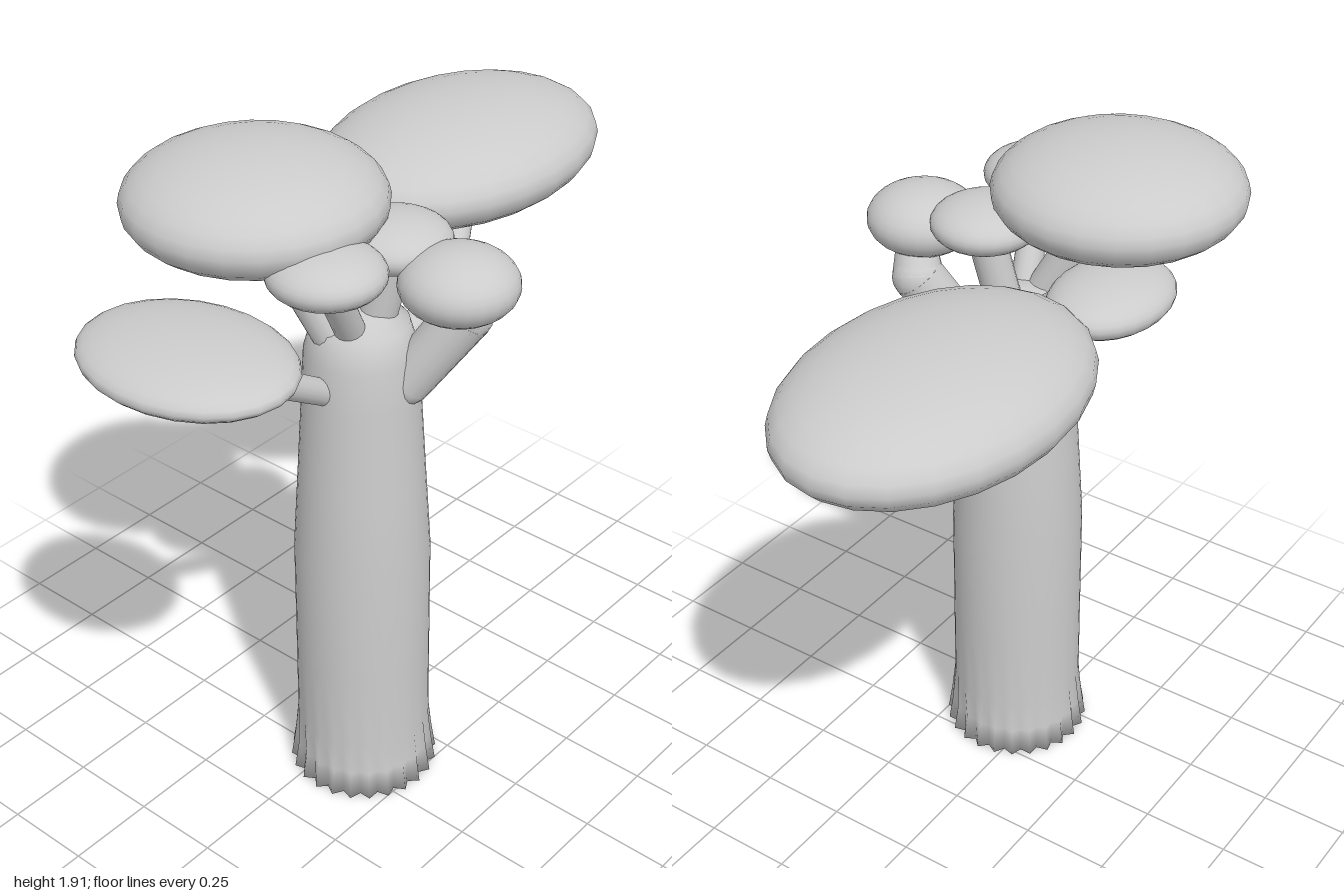
import * as THREE from 'three';

export function createModel() {
  const model = new THREE.Group();
  const material = new THREE.MeshStandardMaterial({ color: 0xcccccc });
  const up = new THREE.Vector3(0, 1, 0);

  const add = (name, geometry, parent = model) => {
    const mesh = new THREE.Mesh(geometry, material);
    mesh.name = name;
    parent.add(mesh);
    return mesh;
  };

  // Trunk: a tapering column with a fluted, flared foot
  const profile = [
    [0, 0], [0.21, 0], [0.198, 0.08], [0.187, 0.18], [0.186, 0.4], [0.185, 0.76],
    [0.17, 1.0], [0.155, 1.25], [0.148, 1.37], [0.125, 1.45], [0.07, 1.48], [0, 1.485],
  ].map(([r, y]) => new THREE.Vector2(r, y));
  const segments = 48;
  const trunkGeometry = new THREE.LatheGeometry(profile, segments);
  const pos = trunkGeometry.attributes.position;
  for (let i = 0; i < pos.count; i++) {
    const column = Math.floor(i / profile.length);
    const y = pos.getY(i);
    if (column % 2 && y < 0.18) {
      const pinch = 1 - 0.11 * (1 - y / 0.18);
      pos.setX(i, pos.getX(i) * pinch);
      pos.setZ(i, pos.getZ(i) * pinch);
    }
  }
  trunkGeometry.computeVertexNormals();
  // Match the normals where the lathe closes on itself
  const normal = trunkGeometry.attributes.normal;
  for (let j = 0; j < profile.length; j++) {
    const k = segments * profile.length + j;
    const n = new THREE.Vector3().fromBufferAttribute(normal, j)
      .add(new THREE.Vector3().fromBufferAttribute(normal, k)).normalize();
    normal.setXYZ(j, n.x, n.y, n.z);
    normal.setXYZ(k, n.x, n.y, n.z);
  }
  add('trunk', trunkGeometry).position.set(-0.167, 0, 0.07);

  // Branches: tapering limbs with rounded elbows; each point is x, y, z, radius
  const branch = (name, points) => {
    const group = new THREE.Group();
    group.name = name;
    model.add(group);
    points.forEach(([x, y, z, r], i) => {
      const a = new THREE.Vector3(x, y, z);
      add('joint', new THREE.SphereGeometry(r, 16, 10), group).position.copy(a);
      if (i === points.length - 1) return;
      const [bx, by, bz, br] = points[i + 1];
      const direction = new THREE.Vector3(bx, by, bz).sub(a);
      const limb = add('limb', new THREE.CylinderGeometry(br, r, direction.length(), 16), group);
      limb.position.copy(a).addScaledVector(direction, 0.5);
      limb.quaternion.setFromUnitVectors(up, direction.normalize());
    });
  };
  branch('leftBranch', [[-0.06, 1.31, 0.08, 0.035], [0.22, 1.385, 0.05, 0.038], [0.36, 1.52, -0.03, 0.04]]);
  branch('rightBranch', [[-0.28, 1.28, 0.06, 0.035], [-0.52, 1.43, 0.06, 0.037], [-0.62, 1.575, 0.06, 0.036], [-0.69, 1.6, 0.06, 0.035]]);
  branch('frontBranch', [[-0.125, 1.3, 0.19, 0.065], [-0.045, 1.5, 0.31, 0.07], [-0.08, 1.6, 0.34, 0.05]]);
  branch('backBranch', [[-0.15, 1.4, 0, 0.065], [-0.09, 1.6, -0.23, 0.065]]);
  branch('crownBranch', [[-0.24, 1.42, 0.05, 0.055], [-0.3, 1.7, -0.1, 0.06]]);
  branch('innerRightBranch', [[-0.22, 1.43, 0.09, 0.04], [-0.37, 1.67, 0.14, 0.04]]);
  branch('innerFrontBranch', [[-0.14, 1.42, 0.09, 0.05], [-0.11, 1.66, 0.14, 0.05]]);

  // Foliage: flattened ellipsoids, given as centre and half sizes
  const foliage = [
    ['crownFoliage', [-0.31, 1.775, -0.145], [0.335, 0.14, 0.335]],
    ['leftFoliage', [0.525, 1.605, -0.165], [0.47, 0.145, 0.335]],
    ['rightFoliage', [-0.778, 1.62, 0.075], [0.222, 0.065, 0.29]],
    ['frontFoliage', [-0.123, 1.632, 0.345], [0.152, 0.093, 0.152]],
    ['innerFrontFoliage', [-0.117, 1.68, 0.14], [0.148, 0.068, 0.145]],
    ['innerRightFoliage', [-0.39, 1.705, 0.155], [0.148, 0.07, 0.15]],
    ['backFoliage', [-0.06, 1.62, -0.28], [0.2, 0.068, 0.15]],
  ];
  for (const [name, centre, size] of foliage) {
    const mesh = add(name, new THREE.SphereGeometry(1, 24, 16));
    mesh.position.set(...centre);
    mesh.scale.set(...size);
  }
  return model;
}
